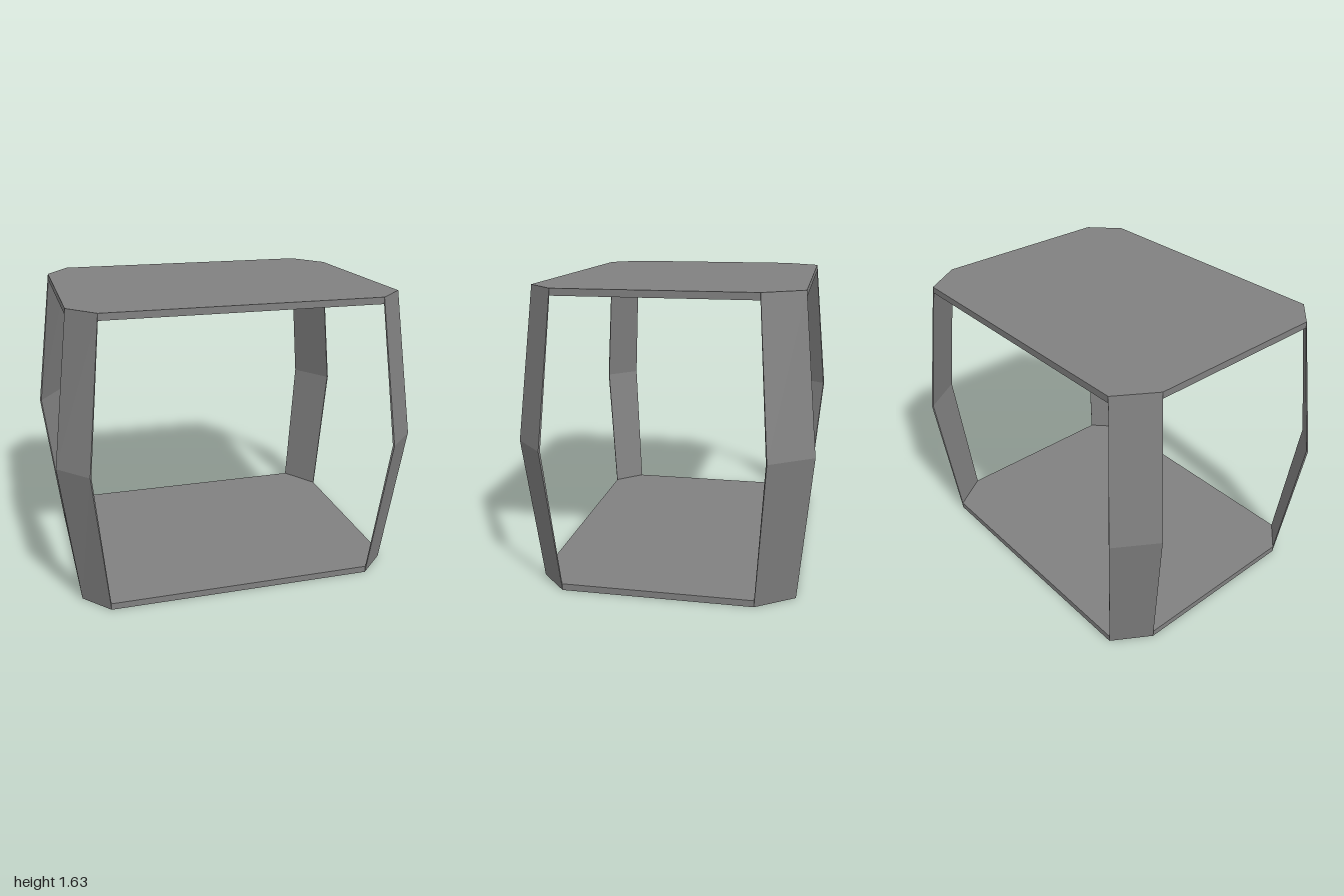
import * as THREE from 'three';

const H = 1.635, T = 0.037, MID = H / 2, STRUT = 0.01;

// Corners as [x, z], going round from the front edge
const outline = [
  [-0.76, 0.705], [0.74, 0.705], [0.9, 0.55], [0.9, -0.495],
  [0.76, -0.705], [-0.765, -0.705], [-0.9, -0.495], [-0.9, 0.55],
];

// Struts: plate edge (start, end) and where that edge bulges to at mid height
const struts = [
  { name: 'frontLeftStrut', edge: [1, 2], bulge: [[0.828, 0.778], [1, 0.61]] },
  { name: 'backLeftStrut', edge: [3, 4], bulge: [[1, -0.553], [0.848, -0.78]] },
  { name: 'backRightStrut', edge: [5, 6], bulge: [[-0.853, -0.78], [-1, -0.553]] },
  { name: 'frontRightStrut', edge: [7, 0], bulge: [[-1, 0.61], [-0.845, 0.775]] },
];

function plateGeometry() {
  const shape = new THREE.Shape(outline.map(([x, z]) => new THREE.Vector2(x, -z)));
  return new THREE.ExtrudeGeometry(shape, { depth: T, bevelEnabled: false }).rotateX(-Math.PI / 2);
}

// Thin bent strip from the bottom plate's edge out to the bulge and back to the top plate
function strutGeometry({ edge, bulge }) {
  const [m, n] = bulge;
  const len = Math.hypot(n[0] - m[0], n[1] - m[1]);
  const inX = (n[1] - m[1]) / len * STRUT, inZ = -(n[0] - m[0]) / len * STRUT;
  // Side profile: outer bottom, middle, top, then inner top, middle, bottom
  const [a, b] = edge.map((corner, i) => {
    const [x, z] = outline[corner], [bx, bz] = bulge[i];
    return [
      [x, 0, z], [bx, MID, bz], [x, H, z],
      [x, H - T, z], [bx + inX, MID, bz + inZ], [x, T, z],
    ];
  });
  const positions = [];
  const quad = (p, q, r, s) => positions.push(...p, ...q, ...r, ...p, ...r, ...s);
  for (const k of [0, 1, 3, 4]) quad(a[k], b[k], b[k + 1], a[k + 1]);
  for (const [p, q, r, s] of [[4, 1, 2, 3], [5, 0, 1, 4]]) {
    quad(a[p], a[q], a[r], a[s]);
    quad(b[s], b[r], b[q], b[p]);
  }
  const geometry = new THREE.BufferGeometry();
  geometry.setAttribute('position', new THREE.Float32BufferAttribute(positions, 3));
  geometry.computeVertexNormals();
  return geometry;
}

export function createModel() {
  const group = new THREE.Group();
  group.name = 'openFrame';
  const material = new THREE.MeshStandardMaterial({ color: 0x808080, flatShading: true });
  const add = (name, geometry, y = 0) => {
    const mesh = new THREE.Mesh(geometry, material);
    mesh.name = name;
    mesh.position.y = y;
    group.add(mesh);
  };

  // Two matching plates
  const plate = plateGeometry();
  add('bottomPlate', plate);
  add('topPlate', plate, H - T);

  // Four bent corner struts
  for (const strut of struts) add(strut.name, strutGeometry(strut));

  return group;
}
